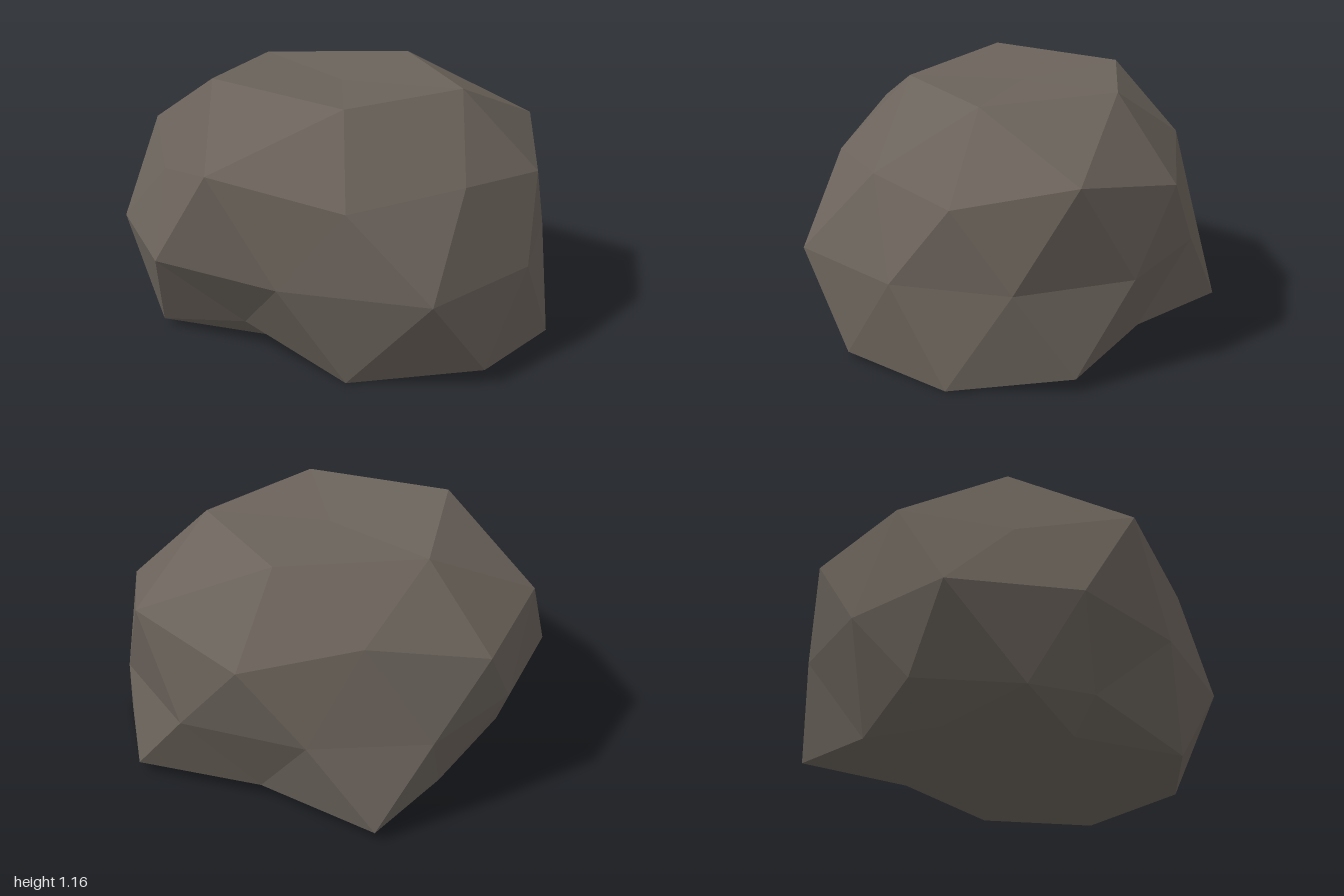
import * as THREE from 'three';

// Faceted boulder: rings of points from top to bottom, each listed from +x round towards +z.
const topPole = [0, 1.12, 0];
const topRing = [[0.57, 1.13, 0], [0.17, 1.14, 0.49], [-0.51, 1.165, 0.31], [-0.48, 1.13, -0.31], [0.17, 1.14, -0.5]];
const shoulder = [
  [0.925, 0.78, 0], [0.7, 0.83, 0.44], [0.28, 0.79, 0.8], [-0.33, 0.9, 0.84], [-0.7, 0.76, 0.44],
  [-0.94, 0.85, 0], [-0.78, 0.77, -0.5], [-0.25, 0.87, -0.67], [0.28, 0.78, -0.8], [0.78, 0.885, -0.52],
];
const girth = [
  [0.95, 0.27], [0.665, 0.815], [-0.01, 0.86], [-0.63, 0.73], [-1, 0.27],
  [-0.86, -0.26], [-0.56, -0.69], [-0.02, -0.81], [0.56, -0.7], [0.91, -0.27],
].map(([x, z]) => [x, 0.43, z]);
const foot = [
  [1, 0, 0], [0.83, 0.03, 0.53], [0.275, 0, 0.78], [-0.26, 0.13, 0.6], [-0.71, 0.03, 0.5],
  [-0.81, 0.12, 0], [-0.57, 0, -0.37], [-0.33, 0.05, -0.86], [0.22, 0.075, -0.63], [0.82, 0.055, -0.52],
];
const baseRing = [[0.43, 0, 0.28], [-0.16, 0, 0.45], [-0.53, 0, 0], [-0.15, 0, -0.43], [0.43, 0, -0.28]];
const basePole = [0, 0, 0];

function boulderGeometry() {
  const positions = [];
  const tri = (a, b, c, flip) => positions.push(...a, ...(flip ? c : b), ...(flip ? b : c));
  const at = (ring, i) => ring[(i + ring.length) % ring.length];

  // Cap: fan round the pole, then five points joined to a ring of ten
  const cap = (pole, five, ten, offset, flip) => {
    for (let k = 0; k < 5; k++) {
      const a = five[k], b = at(five, k + 1), j = 2 * k + offset;
      tri(pole, b, a, flip);
      tri(a, b, at(ten, j + 1), flip);
      tri(a, at(ten, j + 1), at(ten, j), flip);
      tri(a, at(ten, j), at(ten, j - 1), flip);
    }
  };
  // Band of alternating triangles between a ring of ten and the girth
  const band = (ten, flip) => {
    for (let j = 0; j < 10; j++) {
      tri(ten[j], at(ten, j + 1), girth[j], flip);
      tri(at(girth, j + 1), girth[j], at(ten, j + 1), flip);
    }
  };
  cap(topPole, topRing, shoulder, 0, false);
  band(shoulder, false);
  band(foot, true);
  cap(basePole, baseRing, foot, 1, true);

  const geometry = new THREE.BufferGeometry();
  geometry.setAttribute('position', new THREE.Float32BufferAttribute(positions, 3));
  geometry.computeVertexNormals();
  return geometry;
}

export function createModel() {
  const stone = new THREE.MeshStandardMaterial({ color: 0x6b635b });
  stone.name = 'stone';
  stone.flatShading = true;

  const boulder = new THREE.Mesh(boulderGeometry(), stone);
  boulder.name = 'boulder';

  const model = new THREE.Group();
  model.name = 'rock';
  model.add(boulder);
  return model;
}
